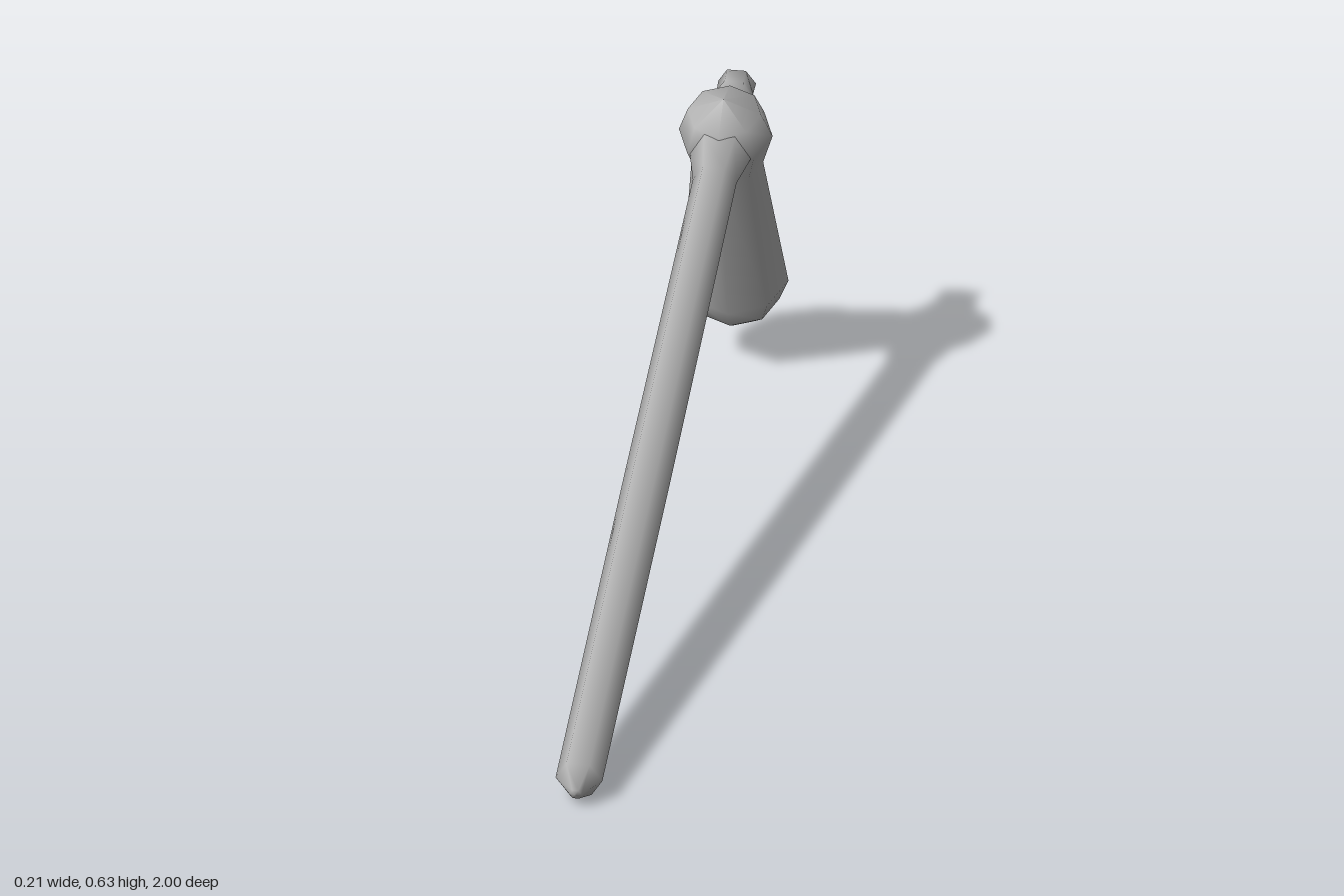
import * as THREE from 'three';

const grey = new THREE.MeshStandardMaterial({ color: 0xb0b0b0 });
grey.name = 'plain grey';

// Turned part between two [y, z] points; profile rows are [radius, distance from start].
function spindle(name, from, to, sides, profile) {
  const points = profile.map(([r, t]) => new THREE.Vector2(r, t));
  const geometry = new THREE.LatheGeometry(points, sides, Math.PI / 2);
  const mesh = new THREE.Mesh(geometry, grey);
  mesh.name = name;
  mesh.position.set(0, from[0], from[1]);
  mesh.rotation.x = Math.atan2(to[1] - from[1], to[0] - from[0]);
  return mesh;
}

export function createModel() {
  const group = new THREE.Group();
  group.name = 'crankTool';

  // Long thin rod with a blunt faceted tip, buried in the hub
  group.add(spindle('rod', [0.045, 1.0], [0.556, -0.78], 6, [
    [0, 0], [0.012, 0.002], [0.046, 0.045], [0.046, 0.9],
    [0.043, 1.72], [0.06, 1.79], [0.06, 1.84], [0, 1.86],
  ]));

  // Club-shaped grip that narrows to a neck and swells into the domed hub
  group.add(spindle('gripAndHub', [0.18, -0.90], [0.49, -0.805], 8, [
    [0, -0.097], [0.052, -0.083], [0.084, -0.052], [0.104, 0],
    [0.07, 0.322], [0.092, 0.395], [0.072, 0.452], [0, 0.486],
  ]));

  // Short tapered stub behind the hub
  group.add(spindle('stub', [0.56, -0.79], [0.598, -0.925], 6, [
    [0.07, 0], [0.05, 0.07], [0.036, 0.105], [0.037, 0.135], [0, 0.142],
  ]));

  return group;
}
